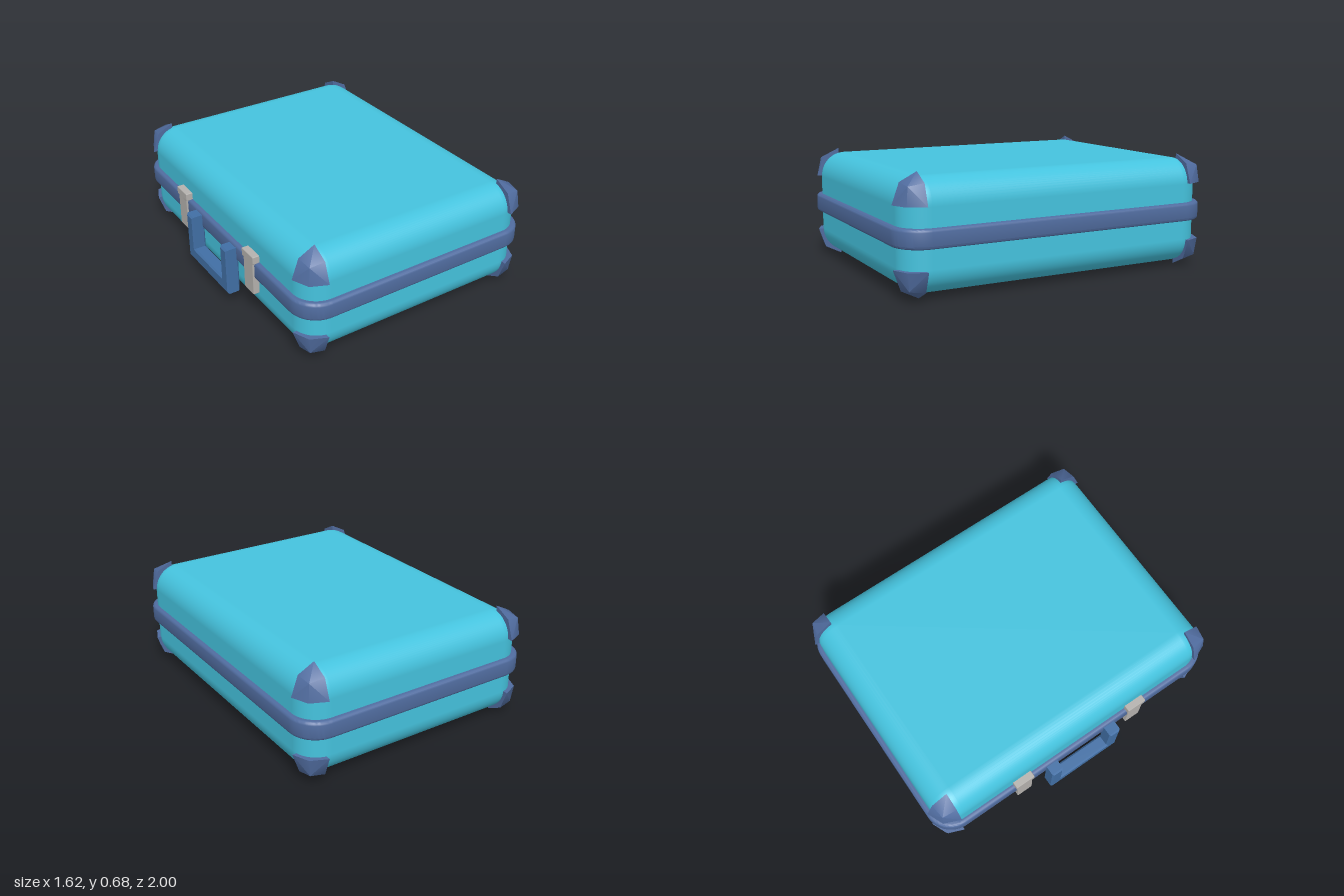
import * as THREE from 'three';
import { toCreasedNormals } from 'three/addons/utils/BufferGeometryUtils.js';
import { RoundedBoxGeometry } from 'three/addons/geometries/RoundedBoxGeometry.js';
import { ConvexGeometry } from 'three/addons/geometries/ConvexGeometry.js';

const CX = 0.033; // shell centre in x (the handle sticks out on -x)
const MID_Y = 0.348;

const shellMat = new THREE.MeshStandardMaterial({ color: 0x45c3de });
const trimMat = new THREE.MeshStandardMaterial({ color: 0x506c9f });
const handleMat = new THREE.MeshStandardMaterial({ color: 0x416fa5 });
const metalMat = new THREE.MeshStandardMaterial({ color: 0xb5b2ae });

function add(parent, name, geometry, material, x = 0, y = 0, z = 0) {
  const mesh = new THREE.Mesh(geometry, material);
  mesh.name = name;
  mesh.position.set(x, y, z);
  parent.add(mesh);
  return mesh;
}

function roundedRect(w, h, r) {
  const s = new THREE.Shape();
  s.absarc(w / 2 - r, h / 2 - r, r, 0, Math.PI / 2);
  s.absarc(-w / 2 + r, h / 2 - r, r, Math.PI / 2, Math.PI);
  s.absarc(-w / 2 + r, -h / 2 + r, r, Math.PI, Math.PI * 1.5);
  s.absarc(w / 2 - r, -h / 2 + r, r, Math.PI * 1.5, Math.PI * 2);
  return s;
}

// Faceted octant wrapping one corner of the shell
function cornerCap(sx, sy, sz) {
  const m = 0.7, c = 0.62;
  const points = [
    [0, 0, 0], [1, 0, 0], [0, 1, 0], [0, 0, 1],
    [m, m, 0], [m, 0, m], [0, m, m], [c, c, c],
  ].map(([x, y, z]) => new THREE.Vector3(sx * x * 0.142, sy * y * 0.17, sz * z * 0.145));
  return toCreasedNormals(new ConvexGeometry(points), 0.8);
}

export function createModel() {
  const group = new THREE.Group();
  group.name = 'suitcase';

  // Shell
  add(group, 'shell', new RoundedBoxGeometry(1.5, 0.635, 1.94, 8, 0.15), shellMat, CX, MID_Y, 0);

  // Band around the middle
  const bevel = 0.018;
  const band = new THREE.ExtrudeGeometry(roundedRect(1.556 - 2 * bevel, 2 - 2 * bevel, 0.15), {
    depth: 0.11 - 2 * bevel, bevelThickness: bevel, bevelSize: bevel, bevelSegments: 3, curveSegments: 10,
  });
  band.rotateX(-Math.PI / 2);
  add(group, 'band', toCreasedNormals(band, 0.7), trimMat, CX, 0.295 + bevel, 0);

  // Corner caps
  for (const sx of [-1, 1]) for (const sy of [-1, 1]) for (const sz of [-1, 1]) {
    add(group, 'cornerCap', cornerCap(sx, sy, sz), trimMat, CX + sx * 0.63, MID_Y + sy * 0.172, sz * 0.852);
  }

  // Latches: a plate with a wider lip at the top
  for (const z of [-0.416, 0.41]) {
    const latch = new THREE.Group();
    latch.name = 'latch';
    add(latch, 'latchPlate', new RoundedBoxGeometry(0.045, 0.23, 0.105, 1, 0.005), metalMat, -0.733, 0.305, z);
    add(latch, 'latchLip', new RoundedBoxGeometry(0.055, 0.05, 0.128, 1, 0.005), metalMat, -0.732, 0.425, z);
    group.add(latch);
  }

  // U-shaped handle hanging from the band
  const b = 0.01, o = 0.252 - b, i = 0.175 + b;
  const u = new THREE.Shape([
    [-o, 0.085 + b], [o, 0.085 + b], [o, 0.388 - b], [i, 0.388 - b],
    [i, 0.165 - b], [-i, 0.165 - b], [-i, 0.388 - b], [-o, 0.388 - b],
  ].map(([x, y]) => new THREE.Vector2(x, y)));
  const handle = new THREE.ExtrudeGeometry(u, {
    depth: 0.082 - 2 * b, bevelThickness: b, bevelSize: b, bevelSegments: 1,
  });
  handle.rotateY(-Math.PI / 2);
  add(group, 'handle', handle, handleMat, -0.73 - b, 0, 0);

  return group;
}
